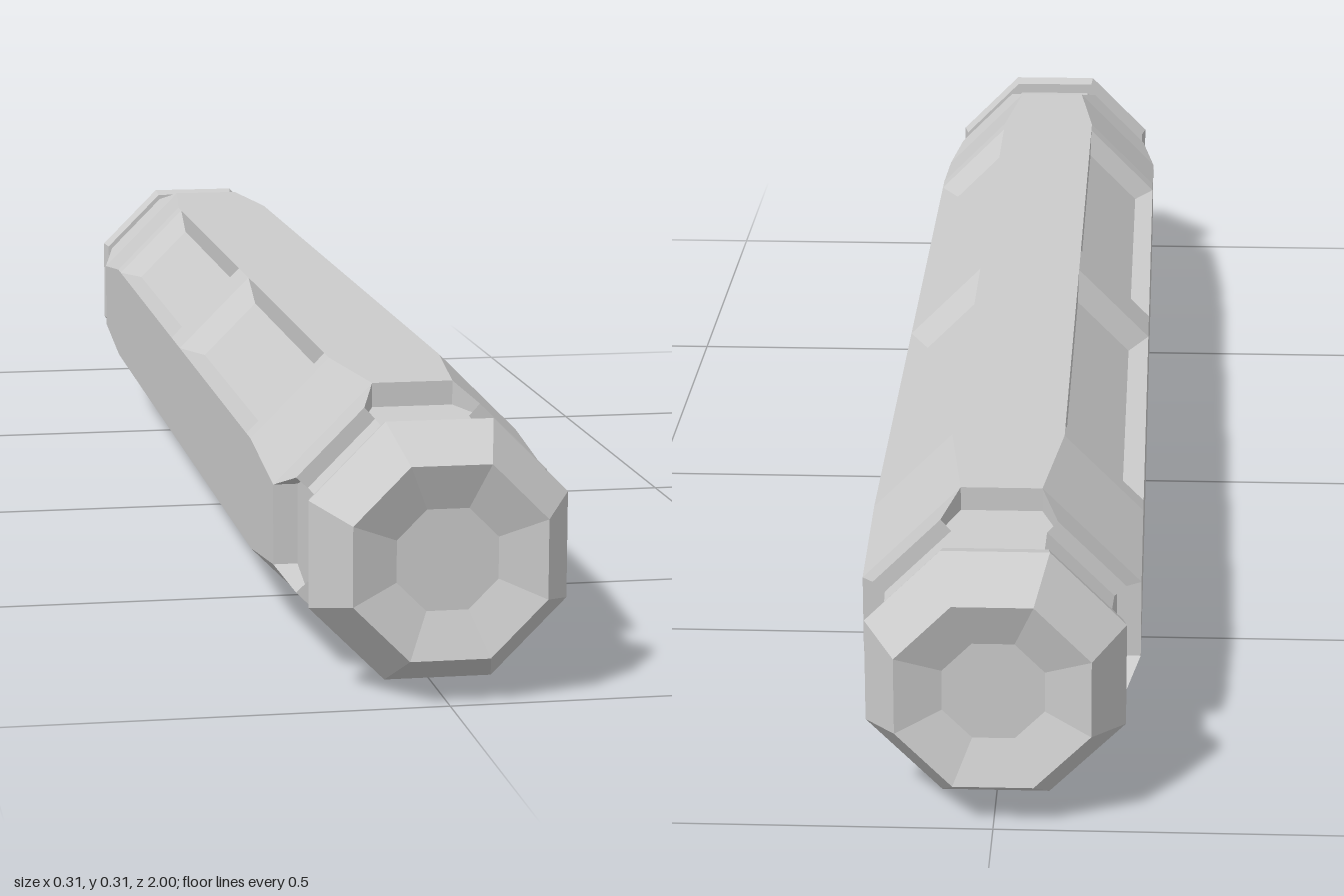
import * as THREE from 'three';

const T = Math.tan(Math.PI / 8);
const CENTER_Y = 0.155;

// Eight-sided ring with fourfold symmetry: w = half width of the straight sides,
// h = their distance from the axis, g = the same for the corners of the diagonal sides.
function ring([z, w, h, g]) {
  const points = [];
  for (let q = 0; q < 4; q++) {
    for (const [x, y] of [[h, w], [g, w], [w, g], [w, h]]) {
      let p = [x, y];
      for (let k = 0; k < q; k++) p = [-p[1], p[0]];
      points.push(new THREE.Vector3(p[0], p[1] + CENTER_Y, z));
    }
  }
  return points;
}

// Regular octagon section with the given distance from axis to side
const octagon = (z, r) => [z, r * T, r, r];
const mirrored = (sections) => sections.map(([z, ...rest]) => [-z, ...rest]).reverse();

function loft(name, sections, material) {
  const rings = sections.map(ring);
  const positions = [];
  const addTriangle = (a, b, c) => {
    const area = b.clone().sub(a).cross(c.clone().sub(a)).length();
    if (area > 1e-9) for (const p of [a, b, c]) positions.push(p.x, p.y, p.z);
  };
  for (let s = 0; s < rings.length - 1; s++) {
    const a = rings[s], b = rings[s + 1];
    for (let i = 0; i < a.length; i++) {
      const j = (i + 1) % a.length;
      addTriangle(a[i], a[j], b[j]);
      addTriangle(a[i], b[j], b[i]);
    }
  }
  const geometry = new THREE.BufferGeometry();
  geometry.setAttribute('position', new THREE.Float32BufferAttribute(positions, 3));
  geometry.computeVertexNormals();
  const mesh = new THREE.Mesh(geometry, material);
  mesh.name = name;
  return mesh;
}

export function createModel() {
  const group = new THREE.Group();
  group.name = 'octagonalBar';
  const material = new THREE.MeshStandardMaterial({ color: 0xcccccc, flatShading: true });

  // Body: centre collar, grooves in the diagonal sides, end plates overhanging the neck
  const R = 0.155, W = R * T, FLOOR = 0.13;
  const halfBody = [
    [0.04, W, R, R],
    [0.095, W, R, FLOOR],
    [0.555, W, R, FLOOR],
    [0.6, W, R, R],
    [0.63, W, R, R],
    [0.79, 0.045, R, R],
    [0.79, 0.045, 0.128, R],
    [0.845, 0.064, 0.126, 0.139],
    octagon(0.845, 0.126),
  ];
  group.add(loft('body', [...mirrored(halfBody), ...halfBody], material));

  // Necks and faceted end caps with a shallow dish
  const neck = [octagon(0.84, 0.126), octagon(0.92, 0.122)];
  const cap = [
    octagon(0.915, 0),
    octagon(0.915, 0.136),
    octagon(0.935, 0.141),
    octagon(1, 0.105),
    octagon(0.982, 0.055),
    octagon(0.982, 0),
  ];
  group.add(loft('frontNeck', neck, material), loft('backNeck', mirrored(neck), material));
  group.add(loft('frontCap', cap, material), loft('backCap', mirrored(cap), material));
  return group;
}
